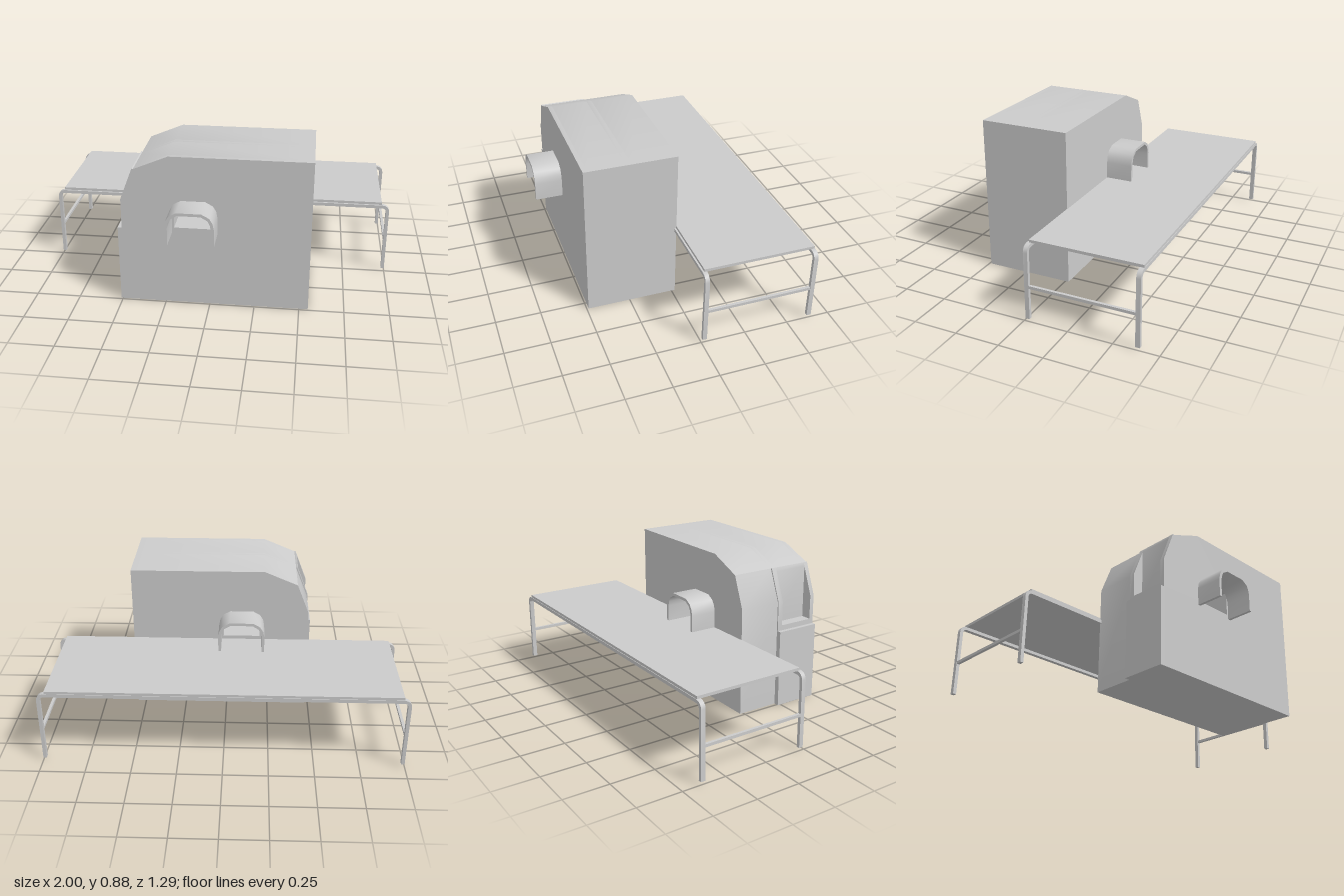
import * as THREE from 'three';
import { toCreasedNormals } from 'three/addons/utils/BufferGeometryUtils.js';

const mat = new THREE.MeshStandardMaterial({ color: 0xcccccc });

// Outline in x/y, extruded from z0 to z1, optionally with a hole
function slab(name, points, z0, z1, hole) {
  const shape = new THREE.Shape(points.map(([x, y]) => new THREE.Vector2(x, y)));
  if (hole) shape.holes.push(new THREE.Path(hole.map(([x, y]) => new THREE.Vector2(x, y))));
  const geo = new THREE.ExtrudeGeometry(shape, { depth: z1 - z0, bevelEnabled: false });
  geo.translate(0, 0, z0);
  const mesh = new THREE.Mesh(toCreasedNormals(geo, 0.6), mat);
  mesh.name = name;
  return mesh;
}

function box(name, x0, x1, y0, y1, z0, z1) {
  const mesh = new THREE.Mesh(new THREE.BoxGeometry(x1 - x0, y1 - y0, z1 - z0), mat);
  mesh.position.set((x0 + x1) / 2, (y0 + y1) / 2, (z0 + z1) / 2);
  mesh.name = name;
  return mesh;
}

// Bent table frame: a leg, a rounded corner, a rail and the mirrored leg
function frameOutline(halfWidth, top, radius, bottom) {
  const right = [[halfWidth, bottom]];
  for (let i = 0; i <= 4; i++) {
    const a = (i / 4) * Math.PI / 2;
    right.push([halfWidth - radius + radius * Math.cos(a), top - radius + radius * Math.sin(a)]);
  }
  return [...right, ...right.map(([x, y]) => [-x, y]).reverse()];
}

export function createModel() {
  const model = new THREE.Group();

  // Scanner cabinet, with a tunnel running through every section
  const cabinet = new THREE.Group();
  cabinet.name = 'cabinet';
  const tunnel = [[-0.195, 0.467], [0.017, 0.467], [0.017, 0.605], [-0.195, 0.605]];
  const roof = [[-0.22, 0.88], [0.55, 0.88], [0.55, 0]];
  const full = [[-0.48, 0], [-0.48, 0.62], [-0.41, 0.8], ...roof];
  const proud = [[-0.48, 0], [-0.48, 0.45], [-0.487, 0.45], [-0.487, 0.62], [-0.417, 0.803], [-0.41, 0.8], ...roof];
  const recessed = [[-0.48, 0], [-0.48, 0.45], [-0.487, 0.45], [-0.487, 0.48], [-0.425, 0.48],
    [-0.425, 0.782], [-0.417, 0.803], [-0.41, 0.8], ...roof];
  cabinet.add(
    slab('cabinetBody', full, -0.02, 0.23, tunnel),
    slab('screenFrameBack', proud, 0.23, 0.26, tunnel),
    slab('screenRecess', recessed, 0.26, 0.465, tunnel),
    slab('screenFrameFront', proud, 0.465, 0.49, tunnel),
    box('controlConsole', -0.51, -0.475, 0, 0.45, 0.23, 0.49)
  );
  model.add(cabinet);

  // Arched hoods over both tunnel mouths
  const arch = [
    [-0.222, 0.44], [-0.222, 0.54], [-0.215, 0.575], [-0.197, 0.605], [-0.157, 0.628],
    [-0.023, 0.628], [0.019, 0.605], [0.036, 0.575], [0.043, 0.54], [0.043, 0.44],
    [0.027, 0.44], [0.027, 0.537], [0.021, 0.567], [0.009, 0.591], [-0.027, 0.612],
    [-0.153, 0.612], [-0.187, 0.591], [-0.2, 0.567], [-0.206, 0.537], [-0.206, 0.44]
  ];
  model.add(slab('frontHood', arch, 0.49, 0.645), slab('backHood', arch, -0.175, -0.02));

  // Table behind the cabinet
  const table = new THREE.Group();
  table.name = 'table';
  table.add(box('tableTop', -0.96, 0.955, 0.43, 0.446, -0.642, -0.018));
  const bent = [...frameOutline(1, 0.431, 0.04, 0.015), ...frameOutline(0.981, 0.412, 0.021, 0.015).reverse()];
  table.add(slab('frontLegFrame', bent, -0.032, -0.008), slab('backLegFrame', bent, -0.645, -0.62));
  for (const side of [-1, 1]) {
    table.add(box('crossBar', side * 0.99 - 0.008, side * 0.99 + 0.008, 0.191, 0.207, -0.622, -0.03));
  }
  model.add(table);

  return model;
}
